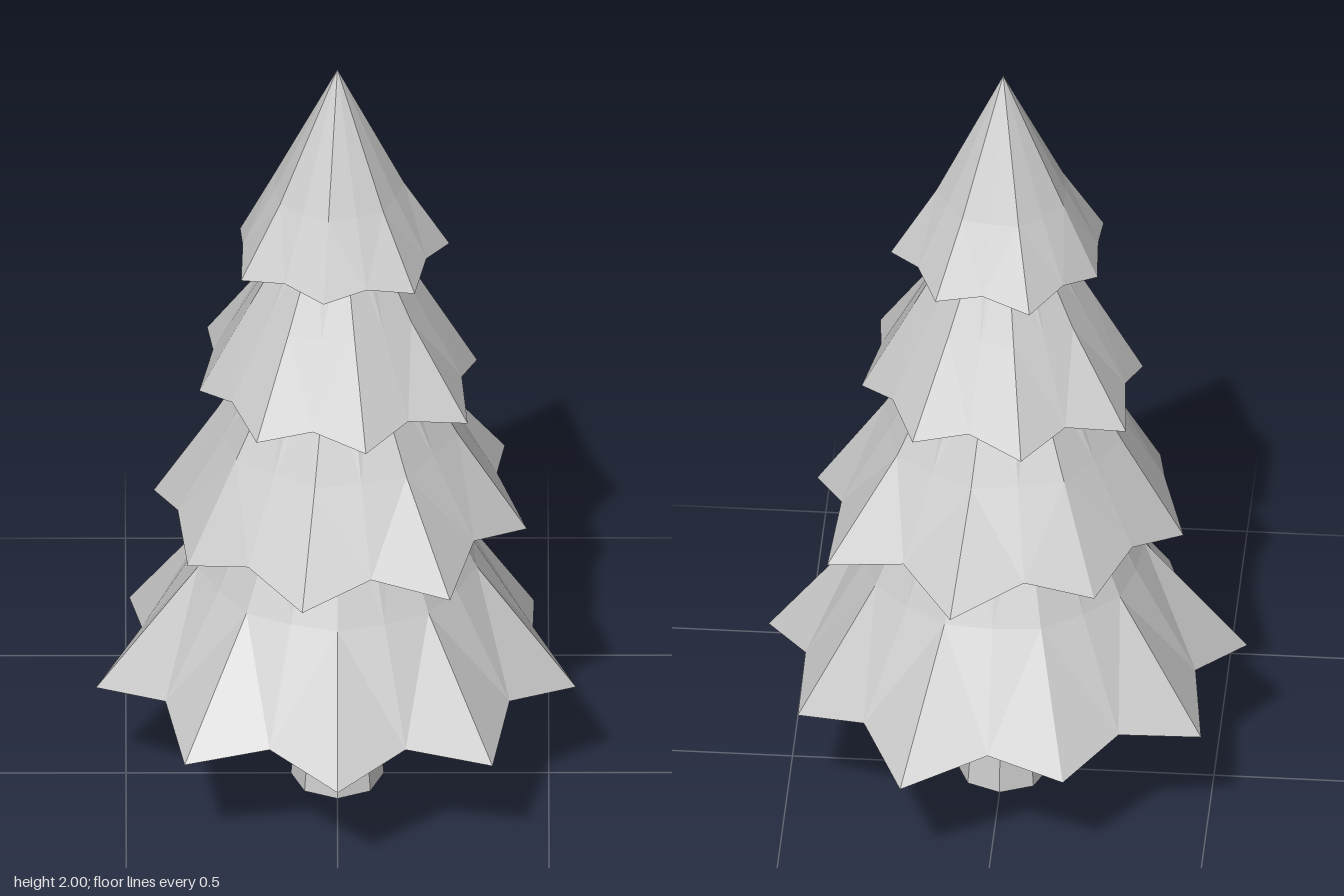
import * as THREE from 'three';

// Point on a ring: angle in degrees turns from +x towards +z
function ringPoint(radius, y, degrees) {
  const a = THREE.MathUtils.degToRad(degrees);
  return [radius * Math.cos(a), y, radius * Math.sin(a)];
}

// Join rings of equal length, listed from top to bottom, into a faceted skin
function skinRings(rings) {
  const positions = [];
  const add = (a, b, c) => {
    const same = (p, q) => p.every((v, k) => Math.abs(v - q[k]) < 1e-7);
    if (!same(a, b) && !same(b, c) && !same(a, c)) positions.push(...a, ...b, ...c);
  };
  for (let r = 0; r < rings.length - 1; r++) {
    const up = rings[r], low = rings[r + 1], n = up.length;
    for (let i = 0; i < n; i++) {
      const j = (i + 1) % n;
      // Alternate the diagonals so that both sides of every tip match
      if (i % 2 === 0) {
        add(up[i], up[j], low[j]);
        add(up[i], low[j], low[i]);
      } else {
        add(up[i], up[j], low[i]);
        add(up[j], low[j], low[i]);
      }
    }
  }
  const geometry = new THREE.BufferGeometry();
  geometry.setAttribute('position', new THREE.Float32BufferAttribute(positions, 3));
  geometry.computeVertexNormals();
  return geometry;
}

// One skirt of branches: narrow top, waist ring, star-shaped rim, underside
function branchTier({ start, tips, valley, top, waist, waistRatio, tipY, valleyY, underY }) {
  const count = tips.length * 2;
  const ring = (pick) => Array.from({ length: count }, (_, i) => {
    const [radius, y] = pick(i % 2 === 0, Math.floor(i / 2));
    return ringPoint(radius, y, start + (i * 360) / count);
  });
  return skinRings([
    ring(() => top),
    ring((isTip) => [waist[0] * (isTip ? 1 : waistRatio), waist[1]]),
    ring((isTip, k) => (isTip ? [tips[k], tipY] : [valley, valleyY])),
    ring(() => [0, underY]),
  ]);
}

export function createModel() {
  const model = new THREE.Group();
  model.name = 'pineTree';
  const grey = new THREE.MeshStandardMaterial({ color: 0xcccccc, flatShading: true });
  grey.name = 'lightGrey';

  const addPart = (name, geometry) => {
    const mesh = new THREE.Mesh(geometry, grey);
    mesh.name = name;
    model.add(mesh);
  };

  // Trunk flaring towards the ground
  const trunkProfile = [[0, 0.5], [0.08, 0.5], [0.092, 0.2], [0.11, 0], [0, 0]];
  addPart('trunk', skinRings(trunkProfile.map(([radius, y]) =>
    Array.from({ length: 8 }, (_, i) => ringPoint(radius, y, i * 45)))));

  // Branch tiers from the bottom up; radii and heights as [radius, y]
  const tiers = [
    {
      name: 'bottomBranches', start: 10,
      tips: [0.573, 0.57, 0.55, 0.563, 0.58, 0.568, 0.527, 0.588, 0.538],
      valley: 0.47, top: [0.19, 0.93], waist: [0.335, 0.625], waistRatio: 0.97,
      tipY: 0.31, valleyY: 0.36, underY: 0.39,
    },
    {
      name: 'lowerMiddleBranches', start: 10.7,
      tips: [0.456, 0.472, 0.451, 0.429, 0.442, 0.433, 0.48, 0.48],
      valley: 0.386, top: [0.14, 1.27], waist: [0.29, 1.0], waistRatio: 0.94,
      tipY: 0.75, valleyY: 0.8, underY: 0.83,
    },
    {
      name: 'upperMiddleBranches', start: 33.7,
      tips: [0.37, 0.342, 0.345, 0.333, 0.37, 0.354, 0.347, 0.337],
      valley: 0.3, top: [0.08, 1.6], waist: [0.21, 1.36], waistRatio: 0.94,
      tipY: 1.13, valleyY: 1.165, underY: 1.19,
    },
    {
      name: 'topBranches', start: -5,
      tips: [0.266, 0.265, 0.24, 0.265, 0.246, 0.268, 0.26],
      valley: 0.225, top: [0, 2], waist: [0.158, 1.67], waistRatio: 0.93,
      tipY: 1.49, valleyY: 1.515, underY: 1.535,
    },
  ];
  tiers.forEach((tier) => addPart(tier.name, branchTier(tier)));

  return model;
}
